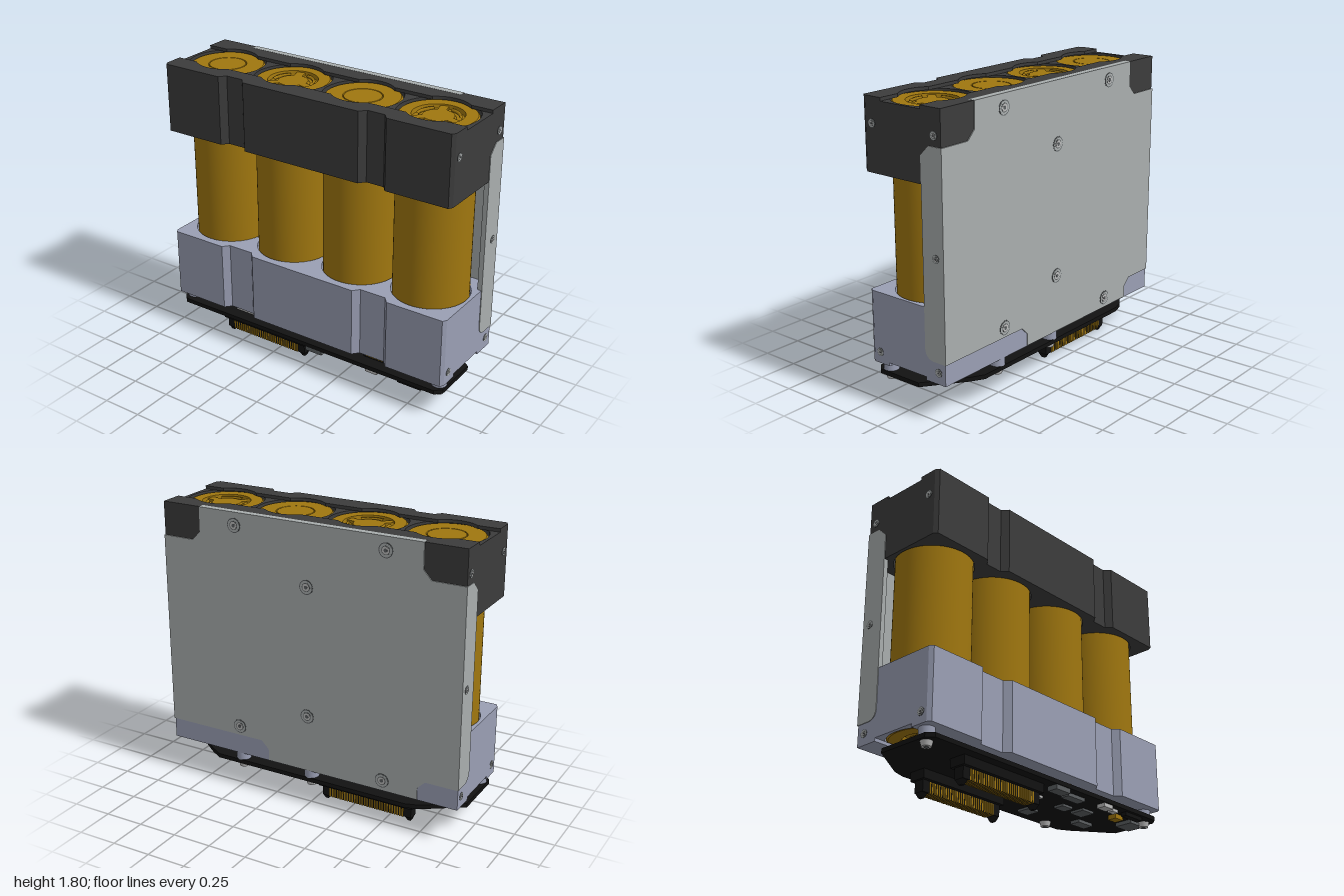
import * as THREE from 'three';
import { toCreasedNormals } from 'three/addons/utils/BufferGeometryUtils.js';

const mat = (name, color, side = THREE.FrontSide) => {
  const m = new THREE.MeshStandardMaterial({ color, side });
  m.name = name;
  return m;
};

export function createModel() {
  const model = new THREE.Group();
  model.name = 'batteryPack';
  const gold = mat('cell gold', 0xa0770f);
  const dark = mat('dark plastic', 0x3c3c3c);
  const lilac = mat('lavender plastic', 0x9a9fb4);
  const plate = mat('plate grey', 0xa9aeae);
  const black = mat('board black', 0x121212);
  const steel = mat('screw steel', 0xbcbcbc);
  const shade = mat('recess grey', 0x5c6062);

  const add = (name, geo, material, x = 0, y = 0, z = 0, parent = model) => {
    const m = new THREE.Mesh(geo, material);
    m.name = name;
    m.position.set(x, y, z);
    parent.add(m);
    return m;
  };
  const box = (name, material, x0, x1, y0, y1, z0, z1) =>
    add(name, new THREE.BoxGeometry(x1 - x0, y1 - y0, z1 - z0), material,
      (x0 + x1) / 2, (y0 + y1) / 2, (z0 + z1) / 2);
  // Extrudes a plan given in (x, -z) upwards from y0 to y1
  const slab = (name, shape, y0, y1, material) => {
    const g = new THREE.ExtrudeGeometry(shape, { depth: y1 - y0, bevelEnabled: false, curveSegments: 40 });
    g.rotateX(-Math.PI / 2);
    return add(name, toCreasedNormals(g, 0.5), material, 0, y0, 0);
  };
  const plan = pts => new THREE.Shape(pts.map(([x, z]) => new THREE.Vector2(x, -z)));

  const cellX = [-0.739, -0.246, 0.246, 0.739];
  const zc = 0.005;

  // Holders: pierced body plus front and back lips over the cell ends
  const frontEdge = (inner, outer) => {
    const pts = [[-0.996, 0.265], [-0.98, 0.29]];
    for (const c of [-0.49, 0.49])
      pts.push([c - outer, 0.29], [c - inner, 0.25], [c + inner, 0.25], [c + outer, 0.29]);
    pts.push([0.98, 0.29], [0.996, 0.265]);
    return pts;
  };
  const holder = (name, material, body, lip, inner, outer) => {
    const edge = frontEdge(inner, outer);
    const shape = plan([[-0.996, -0.286], ...edge, [0.996, -0.286]]);
    for (const x of cellX) {
      const h = new THREE.Path();
      h.absarc(x, -zc, 0.237, 0, Math.PI * 2, true);
      shape.holes.push(h);
    }
    slab(name + 'Body', shape, body[0], body[1], material);
    // Scalloped lip edges
    const scallop = z => {
      const pts = [], half = Math.sqrt(0.19 ** 2 - 0.145 ** 2), a0 = Math.atan2(0.145, half);
      for (const x of cellX)
        for (let i = 0; i <= 16; i++) {
          const a = Math.PI - a0 - (Math.PI - 2 * a0) * i / 16;
          pts.push([x + 0.19 * Math.cos(a), zc + z * 0.19 * Math.sin(a)]);
        }
      return pts;
    };
    slab(name + 'FrontLip', plan([...edge, [0.996, 0.15], ...scallop(1).reverse(), [-0.996, 0.15]]),
      lip[0], lip[1], material);
    slab(name + 'BackLip', plan([[-0.996, -0.286], [-0.996, -0.14], ...scallop(-1), [0.996, -0.14], [0.996, -0.286]]),
      lip[0], lip[1], material);
  };
  holder('upperHolder', dark, [1.37, 1.78], [1.78, 1.8], 0.057, 0.09);
  holder('lowerHolder', lilac, [0.25, 0.67], [0.23, 0.25], 0.085, 0.12);

  // Cells, alternately turned end for end
  const H = 1.515;
  const lathe = pts => toCreasedNormals(
    new THREE.LatheGeometry(pts.map(p => new THREE.Vector2(...p)), 64), 0.5);
  const cellGeo = lathe([[0, 0], [0.11, 0], [0.113, 0.006], [0.117, 0], [0.22, 0], [0.229, 0.01],
    [0.229, H - 0.01], [0.22, H], [0.15, H], [0.146, H - 0.025], [0.1, H - 0.025], [0.09, H - 0.008], [0, H - 0.008]]);
  cellX.forEach((x, i) => {
    const cell = new THREE.Group();
    cell.name = 'cell' + (i + 1);
    add('cellCan', cellGeo, gold, 0, -H / 2, 0, cell);
    for (let k = 0; k < 3; k++) {
      // Vent ribs and bridges of the raised terminal
      const rib = add('ventRib', new THREE.TorusGeometry(0.122, 0.01, 6, 16, 1.2), gold, 0, H / 2 - 0.014, 0, cell);
      rib.rotation.set(-Math.PI / 2, 0, k * Math.PI * 2 / 3 + 0.2);
      const arm = new THREE.BoxGeometry(0.07, 0.017, 0.05);
      arm.translate(0.115, 0, 0);
      add('ventBridge', arm, gold, 0, H / 2 - 0.0165, 0, cell).rotation.y = k * Math.PI * 2 / 3 + 1.85;
    }
    cell.position.set(x, 0.255 + H / 2, zc);
    if (i % 2 === 0) cell.rotation.x = Math.PI;
    model.add(cell);
  });

  // Back plate with top and bottom tabs and folded side flanges
  const back = new THREE.Shape([
    [-1, 0.36], [-0.79, 0.36], [-0.74, 0.31], [-0.74, 0.235], [0.28, 0.235], [0.28, 0.31], [0.33, 0.36], [1, 0.36],
    [1, 1.59], [0.79, 1.59], [0.735, 1.645], [0.735, 1.801], [-0.74, 1.801], [-0.74, 1.645], [-0.79, 1.59], [-1, 1.59],
  ].map(p => new THREE.Vector2(...p)));
  add('backPlate', new THREE.ExtrudeGeometry(back, { depth: 0.042, bevelEnabled: false }), plate, 0, 0, -0.292);
  const flange = new THREE.Shape();
  flange.moveTo(0.29, 0.36);
  flange.lineTo(0.29, 1.59);
  flange.lineTo(0.2, 1.59);
  flange.lineTo(0.14, 1.53);
  flange.lineTo(0.14, 0.42);
  flange.quadraticCurveTo(0.145, 0.365, 0.2, 0.36);
  for (const s of [-1, 1]) {
    const g = new THREE.ExtrudeGeometry(flange, { depth: 0.03, bevelEnabled: false });
    g.rotateY(Math.PI / 2); // plan (-z) runs along the shape's x
    add('sideFlange', g, plate, s > 0 ? 0.97 : -1, 0, 0);
  }

  // Screws: a dark recess ring, a steel head and a socket
  const screw = (x, y, z, nx, nz, r) => {
    const g = new THREE.Group();
    g.name = 'screw';
    [[r, 0.002, shade], [r * 0.88, 0.003, plate], [r * 0.6, 0.004, shade], [r * 0.5, 0.005, steel], [r * 0.25, 0.006, shade]]
      .forEach(([rad, h, m]) => {
        const c = new THREE.CylinderGeometry(rad, rad, h, 24);
        c.rotateX(Math.PI / 2);
        add('screwRing', c, m, 0, 0, h / 2, g);
      });
    g.position.set(x, y, z);
    g.rotation.y = Math.atan2(nx, nz);
    model.add(g);
  };
  for (const [x, y] of [[0.49, 1.72], [-0.51, 1.72], [0, 1.42], [0, 0.6], [0.49, 0.42], [-0.51, 0.3]])
    screw(x, y, -0.292, 0, -1, 0.045);
  for (const s of [-1, 1]) {
    for (const y of [0.3, 1.65]) {
      screw(s * 0.996, y, 0.22, s, 0, 0.025);
      screw(s * 0.996, y, -0.235, s, 0, 0.025);
    }
    screw(s, 0.97, -0.235, s, 0, 0.025);
  }

  // Circuit board with cut corners
  slab('circuitBoard', plan([[-0.98, 0.24], [-0.94, 0.28], [0.94, 0.28], [0.98, 0.24], [0.98, -0.06],
    [0.74, -0.24], [0.66, -0.285], [-0.66, -0.285], [-0.74, -0.26], [-0.98, -0.1]]), 0.155, 0.182, black);
  for (const [x, z] of [[-0.93, 0.2], [0.93, 0.2], [0, -0.24], [0.5, -0.24]]) {
    add('standoff', new THREE.CylinderGeometry(0.046, 0.046, 0.055, 24), lilac, x, 0.207, z);
    add('boardBolt', new THREE.CylinderGeometry(0.036, 0.028, 0.032, 20), steel, x, 0.14, z);
    add('boltSocket', new THREE.CylinderGeometry(0.014, 0.014, 0.004, 6), shade, x, 0.1235, z);
  }

  // Edge connectors with rows of contacts and guide posts
  for (const z of [0.165, -0.15]) {
    box('connectorFlange', black, -0.67, -0.03, 0.1, 0.156, z - 0.055, z + 0.055);
    box('connectorBody', black, -0.655, -0.045, 0.03, 0.1, z - 0.033, z + 0.033);
    for (const x of [-0.635, -0.065]) {
      const post = add('guidePost', new THREE.CylinderGeometry(0.03, 0.014, 0.03, 4, 1, false, Math.PI / 4), black, x, 0.015, z);
      post.scale.z = 1.3;
    }
    for (let i = 0; i < 30; i++) {
      const x = -0.6 + i * 0.5 / 29;
      box('contact', gold, x - 0.0045, x + 0.0045, 0.028, 0.095, z - 0.036, z + 0.036);
    }
  }

  // Small board components: x, z, width, depth, height, material
  const parts = [
    [0.88, 0.13, 0.13, 0.12, 0.025, shade], [0.7, 0.16, 0.07, 0.06, 0.03, gold], [0.76, 0.24, 0.16, 0.04, 0.025, black],
    [0.25, -0.16, 0.09, 0.09, 0.015, shade], [0.08, 0.24, 0.12, 0.07, 0.03, shade], [0.25, 0.2, 0.15, 0.06, 0.022, shade],
    [0.5, 0.06, 0.1, 0.1, 0.015, shade], [0.5, 0.24, 0.08, 0.06, 0.025, steel], [0.66, -0.08, 0.13, 0.07, 0.02, shade],
    [0.35, 0.04, 0.09, 0.07, 0.015, shade], [0.1, 0.05, 0.05, 0.05, 0.015, steel], [0.6, 0.22, 0.05, 0.04, 0.02, steel],
  ];
  for (const [x, z, w, d, h, m] of parts)
    box('boardComponent', m, x - w / 2, x + w / 2, 0.156 - h, 0.156, z - d / 2, z + d / 2);
  for (let i = 0; i < 8; i++)
    box('smallChip', steel, -0.62 + i * 0.075, -0.59 + i * 0.075, 0.149, 0.156, -0.255, -0.24);

  // Cable headers on the board's upper face
  box('lightHeader', steel, -0.58, -0.42, 0.182, 0.215, 0.12, 0.2);
  box('darkHeader', black, 0.4, 0.6, 0.182, 0.22, 0.12, 0.2);
  for (let i = 0; i < 8; i++)
    box('headerContact', gold, 0.42 + i * 0.021, 0.432 + i * 0.021, 0.19, 0.21, 0.2, 0.203);

  return model;
}
